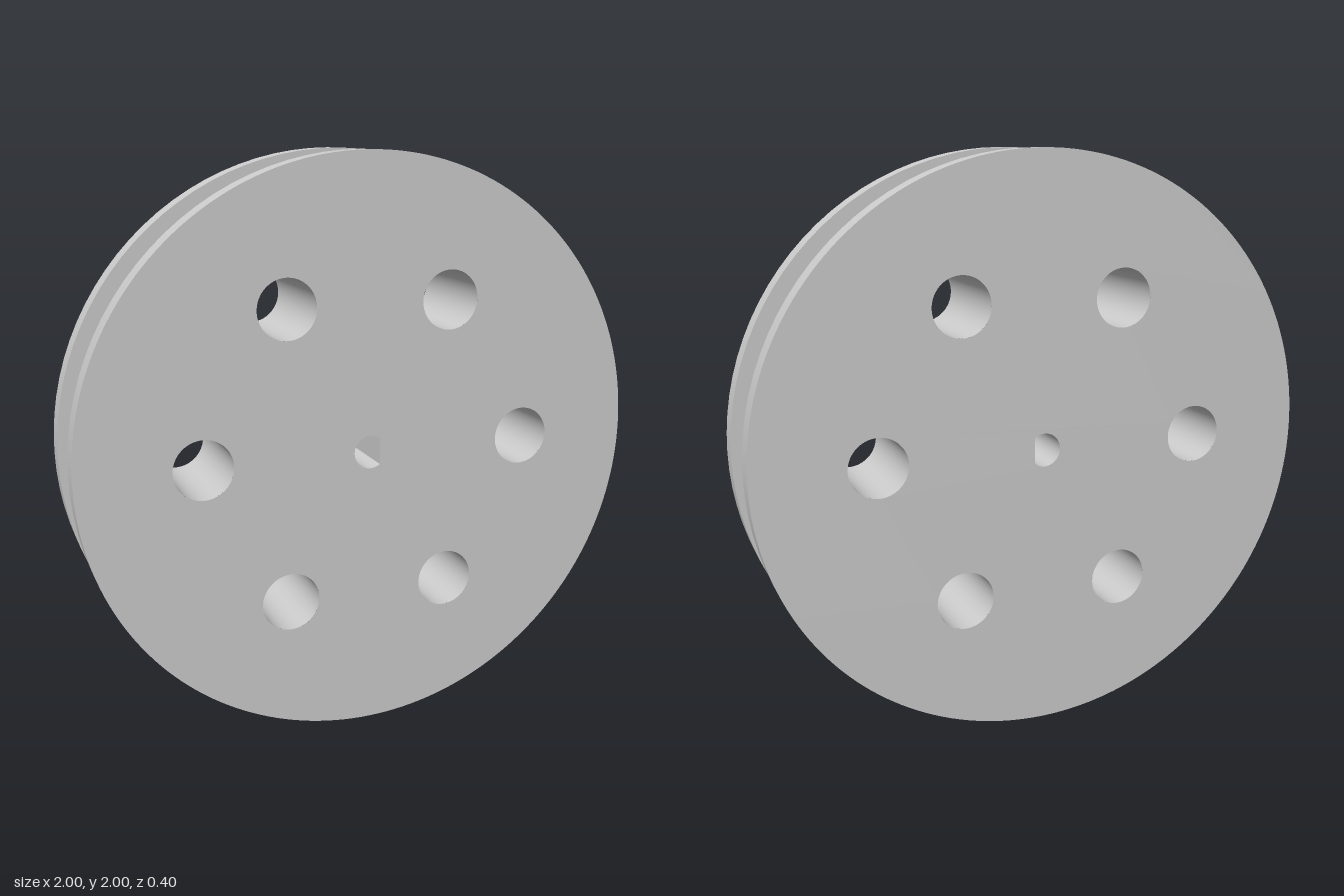
import * as THREE from 'three';
import { mergeGeometries } from 'three/addons/utils/BufferGeometryUtils.js';

const SEG = 96;
const HALF = 0.2;          // half of the wheel's thickness
const GROOVE = 0.115;      // half of the groove's width
const R = 1, R_GROOVE = 0.9;
const R_HOLE = 0.102, R_CIRCLE = 0.583;
const R_BORE = 0.058, FLAT_X = 0.035;

export function createModel() {
  const wheel = new THREE.Group();
  wheel.name = 'pulleyWheel';
  wheel.position.y = 1;
  const material = new THREE.MeshStandardMaterial({ color: 0xcccccc });

  const add = (name, geometry, x = 0, y = 0, z = 0) => {
    const mesh = new THREE.Mesh(geometry, material);
    mesh.name = name;
    mesh.position.set(x, y, z);
    wheel.add(mesh);
  };

  // A band turned about the z axis from (r0, z0) to (r1, z1); falling z faces inward
  const band = (r0, z0, r1, z1, start = 0, length = Math.PI * 2) =>
    new THREE.LatheGeometry(
      [new THREE.Vector2(r0, z0), new THREE.Vector2(r1, z1)], SEG, start, length
    ).rotateX(Math.PI / 2);

  // Two flanges with a square groove between them, each band with sharp edges
  const profile = [
    [R, -HALF], [R, -GROOVE], [R_GROOVE, -GROOVE],
    [R_GROOVE, GROOVE], [R, GROOVE], [R, HALF],
  ];
  add('groovedRim', mergeGeometries(
    profile.slice(1).map((p, i) => band(...profile[i], ...p))
  ));

  // Disc outline with six round holes and a D-shaped shaft hole
  const disc = new THREE.Shape().absarc(0, 0, R, 0, Math.PI * 2);
  const centres = Array.from({ length: 6 }, (_, i) => {
    const a = i * Math.PI / 3;
    return [R_CIRCLE * Math.cos(a), R_CIRCLE * Math.sin(a)];
  });
  for (const [x, y] of centres) {
    disc.holes.push(new THREE.Path().absarc(x, y, R_HOLE, 0, Math.PI * 2));
  }
  const flat = Math.acos(FLAT_X / R_BORE);
  const shaftHole = new THREE.Path().absarc(0, 0, R_BORE, flat, Math.PI * 2 - flat);
  shaftHole.closePath();
  disc.holes.push(shaftHole);

  add('frontFace', new THREE.ShapeGeometry(disc, SEG), 0, 0, HALF);
  add('backFace', new THREE.ShapeGeometry(disc, SEG).rotateX(Math.PI), 0, 0, -HALF);

  // Walls of the round holes
  for (const [x, y] of centres) {
    add('holeWall', band(R_HOLE, HALF, R_HOLE, -HALF), x, y);
  }

  // Walls of the shaft hole: the round part and its flat
  add('shaftHoleWall', band(
    R_BORE, HALF, R_BORE, -HALF, Math.PI / 2 + flat, Math.PI * 2 - 2 * flat
  ));
  add('shaftHoleFlat', new THREE.PlaneGeometry(
    2 * HALF, 2 * R_BORE * Math.sin(flat)
  ).rotateY(-Math.PI / 2), FLAT_X);

  return wheel;
}
